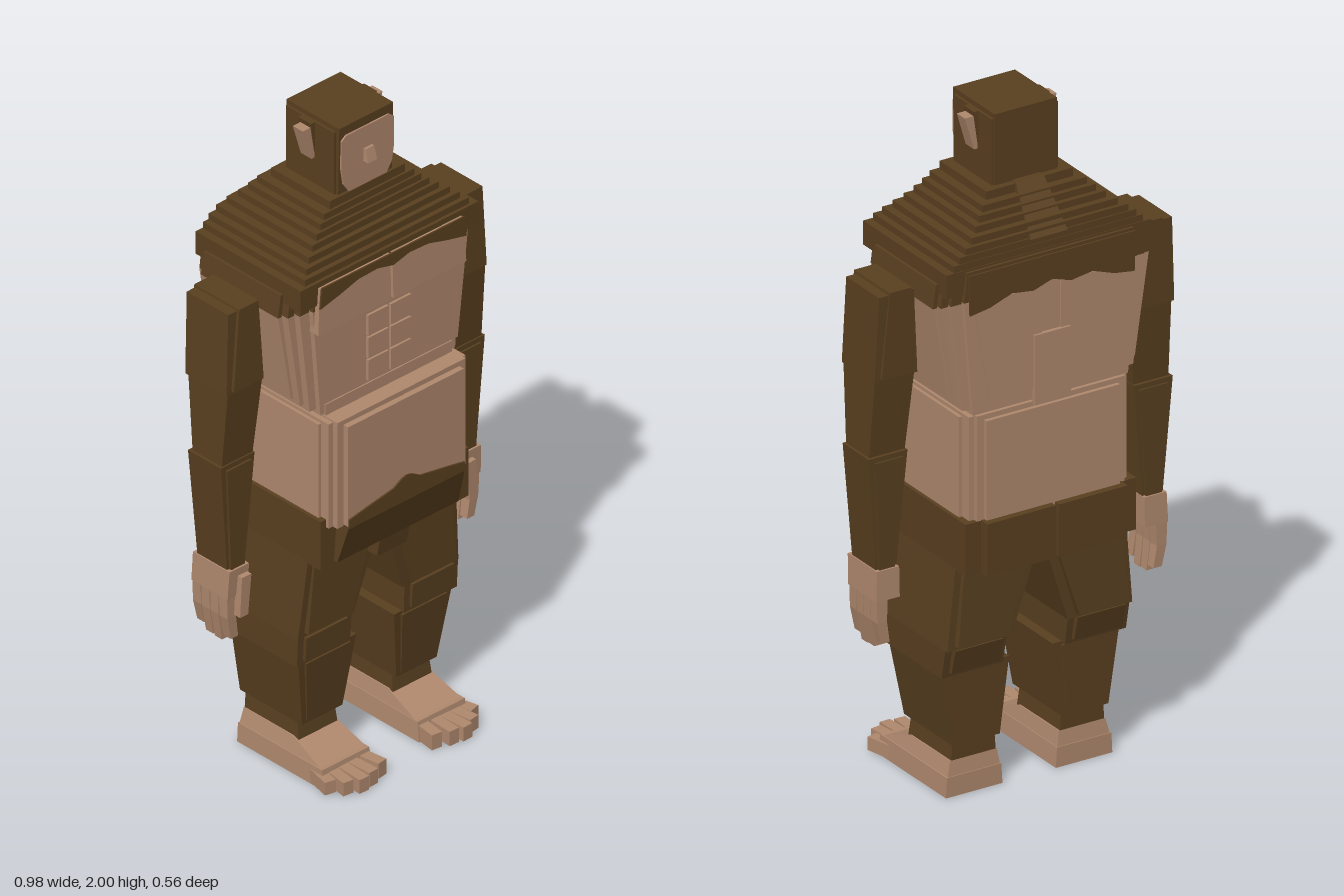
import * as THREE from 'three';

export function createModel() {
  const root = new THREE.Group();
  root.name = 'blockyApe';
  const fur = new THREE.MeshStandardMaterial({ color: 0x5a4020 });
  fur.name = 'brown fur';
  const skin = new THREE.MeshStandardMaterial({ color: 0xb0896e });
  skin.name = 'tan skin';

  const add = (name, geo, mat, parent = root) => {
    const mesh = new THREE.Mesh(geo, mat);
    mesh.name = name;
    parent.add(mesh);
    return mesh;
  };

  // Block between two horizontal rectangles [x0, x1, z0, z1], at y0 and y1; side -1 mirrors it
  const block = (name, mat, y0, y1, bottom, top = bottom, side = 1, parent = root) => {
    const geo = new THREE.BoxGeometry(1, 1, 1).toNonIndexed();
    const p = geo.attributes.position;
    for (let i = 0; i < p.count; i++) {
      const up = p.getY(i) > 0;
      const r = up ? top : bottom;
      const right = p.getX(i) * side > 0;
      p.setXYZ(i, side * r[right ? 1 : 0], up ? y1 : y0, p.getZ(i) > 0 ? r[3] : r[2]);
    }
    geo.computeVertexNormals();
    return add(name, geo, mat, parent);
  };
  const wide = (hx, zb, zf) => [-hx, hx, zb, zf];

  // Thin plate cut from an outline, facing front or back
  const plate = (name, mat, points, z, back = false) => {
    const shape = new THREE.Shape(points.map(([x, y]) => new THREE.Vector2(x, y)));
    const mesh = add(name, new THREE.ExtrudeGeometry(shape, { depth: 0.005, bevelEnabled: false }), mat);
    mesh.position.z = z;
    if (back) mesh.rotation.y = Math.PI;
    return mesh;
  };
  const mirrored = half => [...half, ...half.slice().reverse().filter(q => q[0] !== 0).map(([x, y]) => [-x, y])];

  // Head, face, nose
  block('head', fur, 1.76, 2.0, wide(0.1, -0.125, 0.078), wide(0.1, -0.125, 0.083));
  block('headSides', fur, 1.78, 1.985, wide(0.107, -0.12, 0.07));
  plate('face', skin, mirrored([[0, 1.79], [0.07, 1.79], [0.09, 1.82], [0.098, 1.87], [0.097, 1.96], [0.08, 1.973], [0, 1.973]]), 0.084);
  block('nose', skin, 1.865, 1.905, wide(0.017, 0.085, 0.108), wide(0.015, 0.085, 0.098));

  // Stepped neck and shoulder slope: [y, half width, back z, front z]
  const steps = [[1.60, 0.33, -0.24, 0.175], [1.62, 0.305, -0.238, 0.165], [1.64, 0.285, -0.236, 0.15],
    [1.66, 0.262, -0.232, 0.135], [1.68, 0.235, -0.22, 0.12], [1.70, 0.21, -0.2, 0.11],
    [1.72, 0.188, -0.185, 0.102], [1.74, 0.168, -0.17, 0.095], [1.765, 0.14, -0.145, 0.088]];
  steps.forEach(([y, hx, zb, zf], i) =>
    block('shoulderStep' + i, fur, y - 0.05, y + 0.022, wide(hx, zb, zf)));
  block('napeTuft', fur, 1.66, 1.79, wide(0.06, -0.242, -0.15), wide(0.045, -0.145, -0.09));

  // Chest: nested tapering blocks, skin below and fur above
  const layers = [[0.348, 0.3, -0.2, 0.105, 1.23], [0.335, 0.29, -0.22, 0.13, 1.215],
    [0.312, 0.275, -0.235, 0.152, 1.2], [0.278, 0.25, -0.248, 0.168, 1.185]];
  layers.forEach(([top, low, zb, zf, y0], i) => {
    const split = 1.51 + i * 0.006;
    block('chestLayer' + i, skin, y0, split, wide(low, zb, zf), wide(top, zb, zf));
    block('chestFur' + i, fur, split, 1.58 + i * 0.012, wide(top, zb, zf), wide(top - 0.01, zb, zf));
  });
  for (const s of [1, -1]) {
    block('pectoral', skin, 1.46, 1.605, [0.004, 0.275, 0.1, 0.186], [0.004, 0.265, 0.1, 0.182], s);
    block('shoulderBlade', skin, 1.22, 1.52, [0.03, 0.2, -0.253, -0.2], [0.03, 0.25, -0.253, -0.2], s);
    for (let row = 0; row < 3; row++) {
      const y = 1.225 + row * 0.072;
      block('abdominal', skin, y, y + 0.066, [0.004, 0.08, 0.1, 0.176], undefined, s);
    }
  }
  block('spine', skin, 1.17, 1.38, wide(0.058, -0.26, -0.2));
  plate('chestHairline', fur, mirrored([[0, 1.57], [0.06, 1.585], [0.13, 1.582], [0.2, 1.562], [0.272, 1.545], [0.265, 1.61], [0, 1.61]]), 0.186);
  plate('backHairline', fur, mirrored([[0, 1.535], [0.06, 1.515], [0.13, 1.525], [0.2, 1.5], [0.265, 1.49], [0.268, 1.61], [0, 1.61]]), -0.253, true);

  // Belly with stepped corners and the hairline above the hips
  block('waist', skin, 1.13, 1.215, wide(0.235, -0.235, 0.172));
  [[0.264, -0.2, 0.175, 1.165], [0.254, -0.235, 0.205, 1.175], [0.238, -0.25, 0.222, 1.18], [0.215, -0.262, 0.24, 1.165]]
    .forEach(([hx, zb, zf, y1], i) => block('bellyLayer' + i, skin, 0.84, y1, wide(hx, zb, zf)));
  plate('bellyHairline', fur, mirrored([[0, 0.84], [0.214, 0.84], [0.214, 0.868], [0.15, 0.88], [0.09, 0.89], [0.05, 0.897], [0.02, 0.915], [0, 0.92]]), 0.24);

  // Hips
  block('hips', fur, 0.71, 0.865, wide(0.275, -0.25, 0.195));
  block('hipFront', fur, 0.72, 0.845, wide(0.225, -0.2, 0.208), wide(0.215, -0.2, 0.244));
  block('crotchFlap', fur, 0.655, 0.82, wide(0.055, 0.0, 0.185), wide(0.055, 0.0, 0.214));
  block('crotch', fur, 0.655, 0.72, wide(0.035, -0.14, 0.1), wide(0.06, -0.16, 0.12));

  for (const s of [1, -1]) {
    const g = new THREE.Group();
    g.name = s > 0 ? 'leftLimbs' : 'rightLimbs';
    root.add(g);
    const part = (name, mat, y0, y1, bottom, top) => block(name, mat, y0, y1, bottom, top, s, g);

    // Ear and buttock
    part('ear', skin, 1.87, 1.97, [0.09, 0.118, -0.05, -0.008], [0.112, 0.148, -0.05, -0.01]);
    part('earTuft', fur, 1.89, 1.985, [0.09, 0.108, -0.055, -0.005], [0.1, 0.122, -0.055, -0.005]);
    part('buttock', fur, 0.71, 0.867, [0.005, 0.226, -0.283, -0.2]);

    // Leg
    part('thigh', fur, 0.465, 0.715, [0.09, 0.298, -0.195, 0.13], [0.012, 0.275, -0.2, 0.145]);
    part('thighCore', fur, 0.48, 0.7, [0.115, 0.275, -0.216, 0.148], [0.045, 0.255, -0.212, 0.15]);
    part('knee', fur, 0.375, 0.475, [0.1, 0.297, -0.165, 0.125], [0.098, 0.297, -0.185, 0.13]);
    part('kneeCap', fur, 0.39, 0.465, [0.12, 0.275, -0.18, 0.135], [0.12, 0.275, -0.2, 0.14]);
    part('shin', fur, 0.155, 0.38, [0.1, 0.25, -0.15, 0.095], [0.07, 0.285, -0.15, 0.118]);
    part('shinCore', fur, 0.165, 0.37, [0.115, 0.235, -0.157, 0.1], [0.095, 0.262, -0.157, 0.125]);
    part('ankle', fur, 0.085, 0.165, [0.102, 0.248, -0.135, 0.08], [0.108, 0.242, -0.135, 0.07]);
    part('foot', skin, 0, 0.06, [0.086, 0.268, -0.142, 0.2], [0.09, 0.265, -0.142, 0.19]);
    part('instep', skin, 0.055, 0.105, [0.092, 0.262, -0.14, 0.19], [0.1, 0.25, -0.135, 0.06]);
    [[0.108, 0.255], [0.152, 0.272], [0.19, 0.28], [0.227, 0.262], [0.257, 0.228]].forEach(([x, z], i) => {
      const toe = add('toe', new THREE.BoxGeometry(0.034, 0.048 - i * 0.002, 0.1), skin, g);
      toe.position.set(s * x, 0.024, z - 0.05);
      toe.rotation.y = s * (i - 1.5) * 0.09;
    });

    // Arm
    part('shoulder', fur, 1.29, 1.545, [0.345, 0.483, -0.118, 0.045], [0.36, 0.472, -0.124, 0.04]);
    part('shoulderCore', fur, 1.3, 1.553, [0.365, 0.465, -0.128, 0.055], [0.37, 0.44, -0.128, 0.05]);
    part('upperArm', fur, 1.05, 1.3, [0.368, 0.482, -0.09, 0.025], [0.35, 0.478, -0.112, 0.045]);
    part('forearm', fur, 0.705, 1.055, [0.397, 0.462, -0.092, 0.025], [0.365, 0.49, -0.1, 0.03]);
    part('forearmCore', fur, 0.715, 1.04, [0.405, 0.455, -0.1, 0.034], [0.38, 0.472, -0.105, 0.036]);

    // Hand
    part('palm', skin, 0.625, 0.715, [0.395, 0.47, -0.108, 0.035], [0.395, 0.467, -0.105, 0.04]);
    part('thumb', skin, 0.565, 0.69, [0.412, 0.442, 0.025, 0.055], [0.4, 0.435, 0.02, 0.055]);
    for (let i = 0; i < 4; i++) {
      const z = -0.106 + i * 0.035;
      const tip = [0.495, 0.475, 0.472, 0.49][i];
      part('finger', skin, 0.56, 0.64, [0.435, 0.466, z, z + 0.032], [0.432, 0.468, z, z + 0.032]);
      part('fingertip', skin, tip, 0.56, [0.425, 0.452, z + 0.002, z + 0.03], [0.435, 0.466, z, z + 0.032]);
    }
  }
  return root;
}
